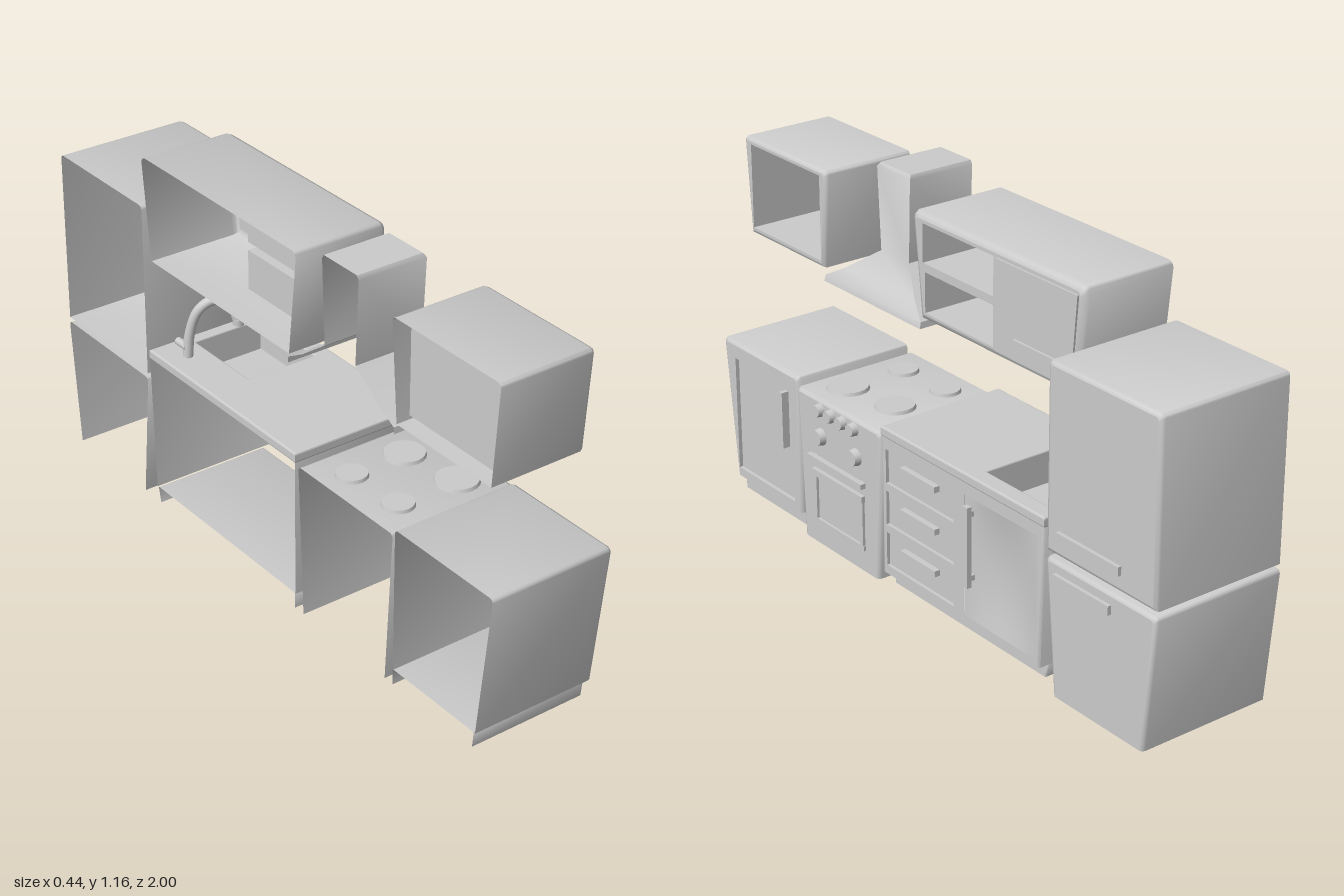
import * as THREE from 'three';
import { toCreasedNormals } from 'three/addons/utils/BufferGeometryUtils.js';

// Units are laid out in a row along local x, facing local +z; the whole row is turned at the end.
const BACK = -0.22;
const mat = new THREE.MeshStandardMaterial({ color: 0xcccccc, side: THREE.DoubleSide });

function add(parent, name, geo, x = 0, y = 0, z = 0) {
  const m = new THREE.Mesh(geo, mat);
  m.name = name;
  m.position.set(x, y, z);
  parent.add(m);
  return m;
}

function unit(parent, name) {
  const g = new THREE.Group();
  g.name = name;
  parent.add(g);
  return g;
}

// Skin between successive rings of [x, y, z] points; skip lists segments left open
function loft(rings, skip = []) {
  const pos = [];
  for (let k = 0; k < rings.length - 1; k++) {
    for (let i = 0; i < rings[k].length - 1; i++) {
      if (skip.includes(i)) continue;
      const a = rings[k][i], b = rings[k + 1][i], c = rings[k + 1][i + 1], d = rings[k][i + 1];
      pos.push(...a, ...b, ...c, ...a, ...c, ...d);
    }
  }
  const geo = new THREE.BufferGeometry();
  geo.setAttribute('position', new THREE.Float32BufferAttribute(pos, 3));
  return toCreasedNormals(geo, 0.9);
}

// Tapered cabinet shell, open at the back, with a softened front edge.
// top and bottom are [left, right]; holes are [x0, x1, y0, y1] cut in the front.
function shell(g, name, top, bottom, y0, y1, zf, { holes = [], closed = false, noTop = false, r = 0.012 } = {}) {
  const pts = [[bottom[0], y0]];
  for (const side of [0, 1]) {
    for (let i = 0; i < 4; i++) {
      const a = (side ? Math.PI / 2 : Math.PI) - (i / 3) * Math.PI / 2;
      pts.push([top[side] + (side ? -r : r) + r * Math.cos(a), y1 - r + r * Math.sin(a)]);
    }
  }
  pts.push([bottom[1], y0], [bottom[0], y0]);
  const cx = (top[0] + top[1]) / 2, hw = (top[1] - top[0]) / 2;
  const cy = closed ? (y0 + y1) / 2 : y0, hh = y1 - cy;
  const ring = (z, inset) => pts.map(([x, y]) =>
    [cx + (x - cx) * (1 - inset / hw), cy + (y - cy) * (1 - inset / hh), z]);
  const rings = [ring(BACK, 0), ring(zf - r, 0), ring(zf - 0.3 * r, 0.3 * r), ring(zf, r)];
  const skip = [];
  if (!closed) skip.push(pts.length - 2);
  if (noTop) skip.push(4);
  add(g, name + 'Walls', loft(rings, skip));
  const face = new THREE.Shape(rings[3].slice(0, -1).map(p => new THREE.Vector2(p[0], p[1])));
  for (const h of holes) face.holes.push(rectPath(...h));
  add(g, name + 'Front', new THREE.ShapeGeometry(face), 0, 0, zf);
}

function rectPath(x0, x1, y0, y1) {
  return new THREE.Path([[x0, y0], [x1, y0], [x1, y1], [x0, y1]].map(p => new THREE.Vector2(...p)));
}

// Box with one side left out (2 = top, 4 = front)
function openBox(w, h, d, side) {
  const geo = new THREE.BoxGeometry(w, h, d);
  geo.setIndex([...geo.index.array].filter((_, i) => Math.floor(i / 6) !== side));
  geo.clearGroups();
  return geo;
}

function recess(g, name, [x0, x1, y0, y1], zf, depth) {
  add(g, name, openBox(x1 - x0, y1 - y0, depth, 4), (x0 + x1) / 2, (y0 + y1) / 2, zf - depth / 2);
}

function bar(g, name, x0, x1, y0, y1, z0, z1) {
  add(g, name, new THREE.BoxGeometry(x1 - x0, y1 - y0, z1 - z0), (x0 + x1) / 2, (y0 + y1) / 2, (z0 + z1) / 2);
}

function knob(g, name, x, y, z, rad, depth) {
  add(g, name, new THREE.CylinderGeometry(rad * 0.85, rad, depth, 16).rotateX(Math.PI / 2), x, y, z + depth / 2);
}

export function createModel() {
  const model = new THREE.Group();
  model.name = 'kitchen';
  const row = unit(model, 'kitchenRow');
  row.rotation.y = Math.PI / 2;

  // Base cabinet at the left end
  const base = unit(row, 'baseCabinet');
  const door = [-0.94, -0.64, 0.075, 0.44];
  shell(base, 'baseCabinet', [-1, -0.605], [-0.95, -0.605], 0.048, 0.493, 0.178, { holes: [door] });
  shell(base, 'baseKick', [-0.945, -0.605], [-0.94, -0.605], 0, 0.05, 0.155, { r: 0.004 });
  recess(base, 'baseDoorPanel', door, 0.178, 0.012);
  bar(base, 'baseDoorHandle', -0.69, -0.675, 0.24, 0.42, 0.166, 0.19);

  // Cooker
  const cooker = unit(row, 'cooker');
  shell(cooker, 'cooker', [-0.595, -0.18], [-0.57, -0.2], 0, 0.473, 0.19);
  for (const [x, z, r] of [[-0.3, 0.05, 0.062], [-0.49, 0.08, 0.065], [-0.49, -0.12, 0.048], [-0.3, -0.13, 0.048]]) {
    add(cooker, 'burner', new THREE.CylinderGeometry(r * 0.94, r, 0.012, 20), x, 0.477, z);
  }
  for (const x of [-0.473, -0.418, -0.362, -0.307]) knob(cooker, 'smallKnob', x, 0.44, 0.188, 0.021, 0.022);
  for (const x of [-0.473, -0.3]) knob(cooker, 'largeKnob', x, 0.355, 0.188, 0.027, 0.022);
  bar(cooker, 'ovenHandle', -0.52, -0.25, 0.275, 0.291, 0.195, 0.212);
  for (const x of [-0.5, -0.27]) bar(cooker, 'ovenHandlePost', x - 0.008, x + 0.008, 0.277, 0.289, 0.185, 0.2);
  bar(cooker, 'ovenTopFrame', -0.51, -0.26, 0.225, 0.245, 0.185, 0.203);
  bar(cooker, 'ovenBottomFrame', -0.51, -0.26, 0.07, 0.085, 0.185, 0.198);
  for (const x of [-0.505, -0.275]) bar(cooker, 'ovenSideFrame', x, x + 0.012, 0.085, 0.225, 0.185, 0.198);

  // Sink counter with three drawers and a dished door
  const sink = unit(row, 'sinkCounter');
  const drawers = [[0.335, 0.44], [0.205, 0.31], [0.075, 0.18]].map(([a, b]) => [-0.145, 0.165, a, b]);
  const dish = [0.215, 0.525, 0.068, 0.44];
  shell(sink, 'counter', [-0.163, 0.552], [-0.163, 0.537], 0.048, 0.485, 0.198,
    { holes: [...drawers, dish], noTop: true, r: 0.006 });
  shell(sink, 'counterKick', [-0.16, 0.53], [-0.16, 0.52], 0, 0.05, 0.16, { r: 0.004 });
  for (const d of drawers) {
    recess(sink, 'drawer', d, 0.198, 0.01);
    const y = d[3] - 0.035;
    bar(sink, 'drawerHandle', -0.07, 0.09, y - 0.009, y + 0.009, 0.186, 0.206);
  }
  const dished = new THREE.PlaneGeometry(0.31, 0.372, 12, 12);
  const p = dished.attributes.position;
  for (let i = 0; i < p.count; i++) {
    const a = p.getX(i) / 0.155, b = p.getY(i) / 0.186;
    p.setZ(i, -0.018 * (1 - a * a) * (1 - b * b));
  }
  dished.computeVertexNormals();
  add(sink, 'dishedDoor', dished, 0.37, 0.254, 0.197);
  bar(sink, 'doorHandle', 0.235, 0.255, 0.175, 0.42, 0.205, 0.22);
  for (const y of [0.2, 0.395]) bar(sink, 'doorHandlePost', 0.239, 0.251, y - 0.008, y + 0.008, 0.185, 0.207);

  // Worktop with the basin let in
  const slab = new THREE.Shape([[-0.16, -0.195], [0.55, -0.195], [0.55, 0.215], [-0.16, 0.215]].map(q => new THREE.Vector2(...q)));
  slab.holes.push(rectPath(0.24, 0.52, -0.15, 0.09));
  add(sink, 'worktop', new THREE.ExtrudeGeometry(slab, {
    depth: 0.02, bevelThickness: 0.005, bevelSize: 0.005, bevelSegments: 2 }).rotateX(-Math.PI / 2), 0, 0.48, 0);
  add(sink, 'basin', openBox(0.27, 0.095, 0.23, 2), 0.38, 0.4535, 0.03);

  // Tap
  const tap = unit(sink, 'tap');
  const path = new THREE.CatmullRomCurve3([
    [0.458, 0.505, -0.15], [0.455, 0.58, -0.143], [0.438, 0.655, -0.122], [0.415, 0.685, -0.083],
    [0.388, 0.668, -0.045], [0.373, 0.615, -0.03]].map(q => new THREE.Vector3(...q)));
  add(tap, 'spout', new THREE.TubeGeometry(path, 28, 0.015, 12));
  add(tap, 'spoutTip', new THREE.CylinderGeometry(0.017, 0.017, 0.02, 12), 0.373, 0.618, -0.03);
  add(tap, 'tapLever', new THREE.CylinderGeometry(0.012, 0.012, 0.05, 12).rotateZ(Math.PI / 2), 0.48, 0.535, -0.152);

  // Fridge with a freezer below
  const fridge = unit(row, 'fridge');
  shell(fridge, 'fridgeUpper', [0.568, 0.998], [0.568, 0.998], 0.42, 0.96, 0.205, { closed: true });
  shell(fridge, 'fridgeLower', [0.568, 1], [0.605, 0.963], 0, 0.405, 0.205);
  bar(fridge, 'upperHandle', 0.62, 0.865, 0.47, 0.496, 0.2, 0.216);
  bar(fridge, 'lowerHandle', 0.61, 0.83, 0.343, 0.37, 0.2, 0.216);

  // Small open wall cupboard
  const small = unit(row, 'smallWallCupboard');
  const opening = [-0.965, -0.615, 0.83, 1.09];
  shell(small, 'smallCupboard', [-1, -0.582], [-0.978, -0.604], 0.81, 1.11, 0.078, { holes: [opening], closed: true });
  recess(small, 'smallCupboardNiche', opening, 0.078, 0.265);

  // Wide wall cupboard with two niches and a door
  const wide = unit(row, 'wideWallCupboard');
  const niches = [[-0.125, 0.185, 0.975, 1.09], [-0.115, 0.185, 0.83, 0.95]];
  shell(wide, 'wideCupboard', [-0.173, 0.558], [-0.14, 0.525], 0.805, 1.118, 0.078, { holes: niches, closed: true, r: 0.018 });
  for (const n of niches) recess(wide, 'niche', n, 0.078, 0.2);
  const panel = new THREE.Shape([[0.2, 0.825], [0.512, 0.825], [0.535, 1.09], [0.2, 1.09]].map(q => new THREE.Vector2(...q)));
  add(wide, 'wideCupboardDoor', new THREE.ExtrudeGeometry(panel, { depth: 0.008, bevelEnabled: false }), 0, 0, 0.076);
  bar(wide, 'wideCupboardHandle', 0.285, 0.45, 0.868, 0.888, 0.082, 0.092);

  // Extractor hood, open below and behind
  const hood = unit(row, 'hood');
  const rings = [[0.776, 0.23, 0.082], [0.795, 0.228, 0.078], [0.83, 0.165, 0.05], [0.9, 0.066, -0.004], [1.15, 0.077, -0.002], [1.162, 0.07, -0.01]]
    .map(([y, w, f]) => [[w, BACK], [w, f], [-w, f], [-w, BACK]].map(([x, z]) => [x - 0.365, y, z]));
  add(hood, 'hoodBody', loft(rings));
  add(hood, 'hoodTop', new THREE.PlaneGeometry(0.14, 0.21).rotateX(-Math.PI / 2), -0.365, 1.162, -0.115);

  return model;
}
